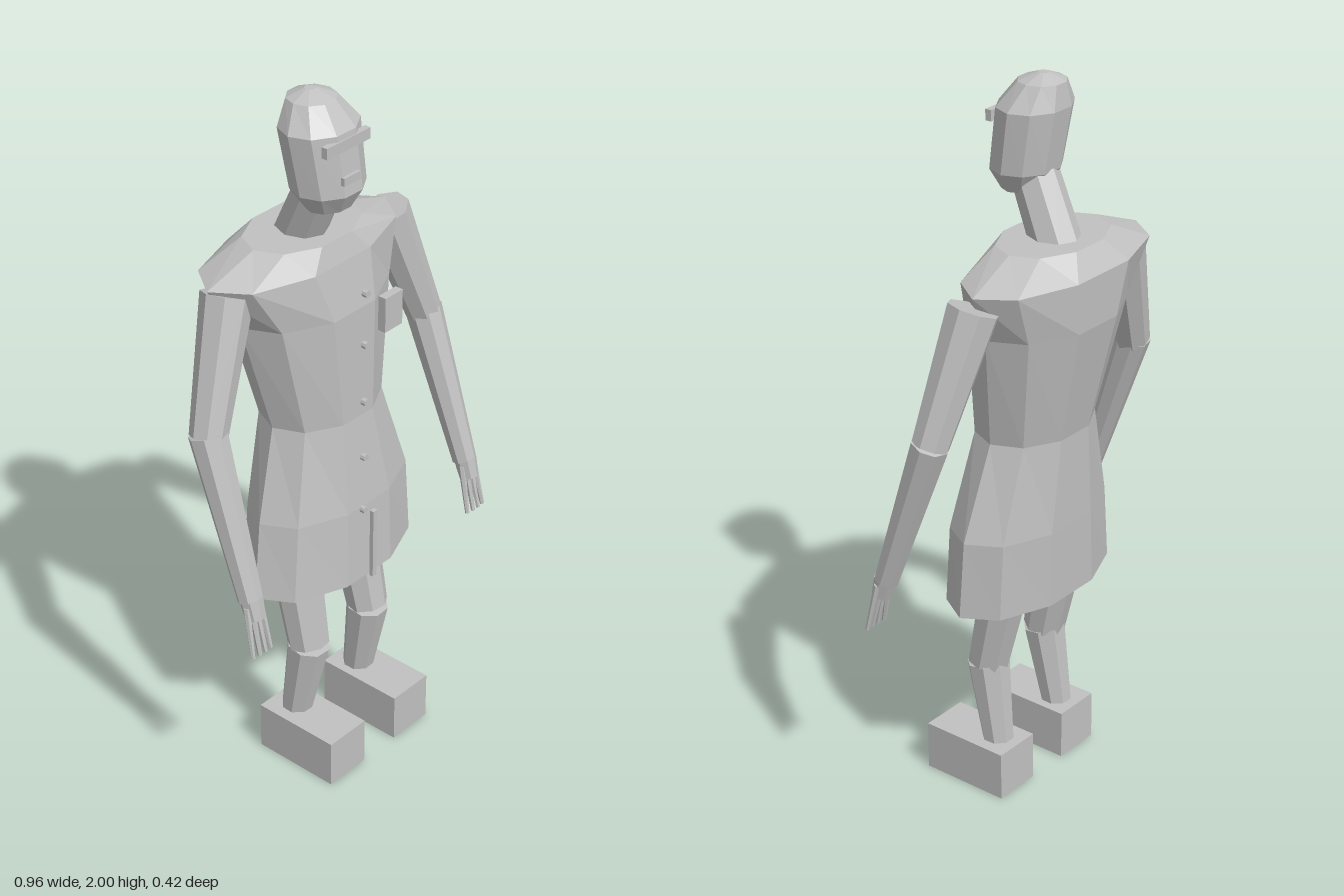
import * as THREE from 'three';

const grey = new THREE.MeshStandardMaterial({ color: 0xc0c0c0, flatShading: true });
grey.name = 'plain grey';

// Closed solid through elliptical rings [y, cx, cz, rx, rz], listed bottom to top
function loft(rings, n) {
  const pos = [], idx = [];
  for (const [y, cx, cz, rx, rz] of rings) {
    for (let i = 0; i < n; i++) {
      const a = (i / n) * Math.PI * 2;
      pos.push(cx + rx * Math.cos(a), y, cz + rz * Math.sin(a));
    }
  }
  const last = (rings.length - 1) * n;
  for (let j = 0; j < last; j += n) {
    for (let i = 0; i < n; i++) {
      const k = (i + 1) % n;
      idx.push(j + i, j + n + i, j + n + k, j + i, j + n + k, j + k);
    }
  }
  for (let i = 1; i < n - 1; i++) {
    idx.push(0, i, i + 1, last, last + i + 1, last + i);
  }
  const g = new THREE.BufferGeometry();
  g.setAttribute('position', new THREE.Float32BufferAttribute(pos, 3));
  g.setIndex(idx);
  g.computeVertexNormals();
  return g;
}

function add(parent, name, geometry) {
  const mesh = new THREE.Mesh(geometry, grey);
  mesh.name = name;
  parent.add(mesh);
  return mesh;
}

// Box from its minimum and maximum corners
function box(parent, name, x0, x1, y0, y1, z0, z1) {
  const mesh = add(parent, name, new THREE.BoxGeometry(x1 - x0, y1 - y0, z1 - z0));
  mesh.position.set((x0 + x1) / 2, (y0 + y1) / 2, (z0 + z1) / 2);
  return mesh;
}

// Tapered limb from point a (radius ra) to point b (radius rb)
function limb(parent, name, a, b, ra, rb, sides = 8) {
  const p = new THREE.Vector3(...a), q = new THREE.Vector3(...b);
  const dir = q.clone().sub(p);
  const mesh = add(parent, name, new THREE.CylinderGeometry(rb, ra, dir.length(), sides));
  mesh.position.copy(p).add(q).multiplyScalar(0.5);
  mesh.quaternion.setFromUnitVectors(new THREE.Vector3(0, 1, 0), dir.normalize());
  return mesh;
}

export function createModel() {
  const model = new THREE.Group();
  model.name = 'figure';

  // Long coat with sloping shoulders
  add(model, 'coat', loft([
    [0.59, 0, 0.013, 0.29, 0.157],
    [0.81, 0.01, 0.004, 0.27, 0.154],
    [1.07, 0, -0.012, 0.188, 0.138],
    [1.39, -0.012, -0.045, 0.255, 0.169],
    [1.53, -0.028, -0.06, 0.338, 0.157],
    [1.59, -0.032, -0.045, 0.182, 0.123],
  ], 10));

  // Coat details
  for (const y of [1.465, 1.315, 1.145, 0.975, 0.81]) {
    const button = add(model, 'button', new THREE.CylinderGeometry(0.01, 0.01, 0.014, 8));
    button.rotation.x = Math.PI / 2;
    button.position.set(-0.025, y, 0.163);
  }
  box(model, 'chestPocket', 0.073, 0.141, 1.3, 1.4, 0.121, 0.145);
  box(model, 'coatSlit', -0.008, 0.008, 0.59, 0.8, 0.17, 0.182);

  // Neck and head
  limb(model, 'neck', [-0.032, 1.56, -0.058], [-0.05, 1.73, 0.028], 0.068, 0.064);
  add(model, 'head', loft([
    [1.695, -0.05, 0.062, 0.069, 0.055],
    [1.75, -0.053, 0.06, 0.104, 0.09],
    [1.915, -0.064, 0.04, 0.113, 0.094],
    [1.98, -0.068, 0.02, 0.066, 0.064],
    [2.0, -0.068, 0.016, 0.015, 0.015],
  ], 10));
  box(model, 'visor', -0.142, 0.018, 1.87, 1.9, 0.117, 0.135);
  box(model, 'mouth', -0.094, -0.034, 1.785, 1.807, 0.137, 0.149);

  for (const s of [-1, 1]) {
    const side = s > 0 ? 'left' : 'right';

    // Arm
    const arm = new THREE.Group();
    arm.name = side + 'Arm';
    limb(arm, 'upperArm', [s * 0.3, 1.5, -0.055], [s * 0.424, 1.155, -0.012], 0.069, 0.05);
    limb(arm, 'forearm', [s * 0.424, 1.165, -0.014], [s * 0.437, 0.73, 0.135], 0.052, 0.034);
    limb(arm, 'palm', [s * 0.437, 0.735, 0.137], [s * 0.438, 0.68, 0.153], 0.032, 0.027);
    for (let i = -1.5; i < 2; i++) {
      limb(arm, 'finger', [s * (0.438 + i * 0.016), 0.72, 0.145],
        [s * (0.44 + i * 0.022), 0.58, 0.18 - Math.abs(i) * 0.003], 0.01, 0.006, 6);
    }
    model.add(arm);

    // Leg and block foot
    const leg = new THREE.Group();
    leg.name = side + 'Leg';
    limb(leg, 'thigh', [s * 0.115, 0.72, -0.022], [s * 0.123, 0.368, 0.053], 0.075, 0.058);
    limb(leg, 'shin', [s * 0.123, 0.368, 0.053], [s * 0.13, 0.13, 0.014], 0.06, 0.043);
    box(leg, 'foot', s * 0.134 - 0.07, s * 0.134 + 0.07, 0, 0.14, -0.055, 0.207);
    model.add(leg);
  }
  return model;
}
